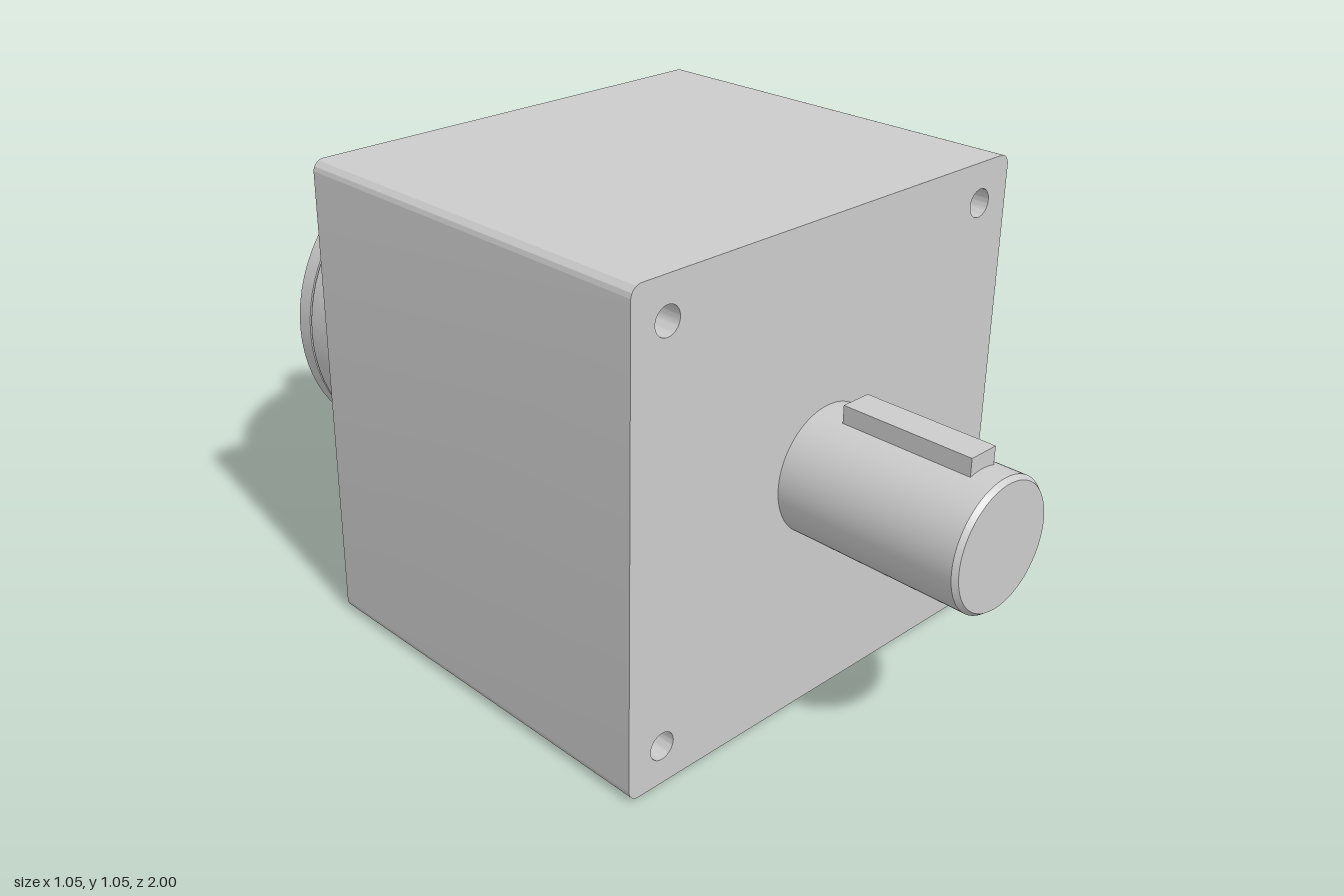
import * as THREE from 'three';
import { toCreasedNormals } from 'three/addons/utils/BufferGeometryUtils.js';

const AXIS_Y = 0.523;

export function createModel() {
  const model = new THREE.Group();
  const material = new THREE.MeshStandardMaterial({ color: 0xcccccc });

  function add(name, geometry, y = 0, z = 0) {
    const mesh = new THREE.Mesh(geometry, material);
    mesh.name = name;
    mesh.position.set(0, y, z);
    model.add(mesh);
  }

  // Solid of revolution about the drive axis; profile is [z, radius], z rising
  function turned(name, profile) {
    const points = profile.map(([z, r]) => new THREE.Vector2(r, z));
    const geometry = new THREE.LatheGeometry(points, 72).rotateX(Math.PI / 2);
    add(name, toCreasedNormals(geometry, 0.5), AXIS_Y);
  }

  // Square housing with rounded long edges and four through holes
  const h = 0.523, r = 0.025;
  const outline = new THREE.Shape();
  outline.moveTo(-h + r, -h);
  outline.absarc(h - r, -h + r, r, -Math.PI / 2, 0);
  outline.absarc(h - r, h - r, r, 0, Math.PI / 2);
  outline.absarc(-h + r, h - r, r, Math.PI / 2, Math.PI);
  outline.absarc(-h + r, -h + r, r, Math.PI, Math.PI * 1.5);
  outline.closePath();
  for (const x of [-0.437, 0.437]) {
    for (const y of [-0.437, 0.437]) {
      outline.holes.push(new THREE.Path().absarc(x, y, 0.03, 0, Math.PI * 2, true));
    }
  }
  const housing = new THREE.ExtrudeGeometry(outline, { depth: 0.913, bevelEnabled: false, curveSegments: 20 });
  add('housing', toCreasedNormals(housing, 0.5), AXIS_Y, -0.325);

  // Rear drum with a shallow groove and a slim collar against the housing
  turned('rearDrum', [
    [-0.69, 0], [-0.69, 0.36], [-0.685, 0.364], [-0.643, 0.364], [-0.643, 0.36],
    [-0.637, 0.36], [-0.637, 0.364], [-0.34, 0.364], [-0.335, 0.368], [-0.32, 0.368], [-0.32, 0],
  ]);

  // Shafts with chamfered ends
  turned('frontShaft', [[0.58, 0], [0.58, 0.136], [0.99, 0.136], [1, 0.128], [1, 0]]);
  turned('rearShaft', [[-1, 0], [-1, 0.054], [-0.99, 0.062], [-0.68, 0.062], [-0.68, 0]]);

  // Keys let into the top of each shaft
  add('frontKey', new THREE.BoxGeometry(0.07, 0.08, 0.29), 0.652, 0.797);
  add('rearKey', new THREE.BoxGeometry(0.036, 0.05, 0.2), 0.583, -0.83);

  return model;
}
